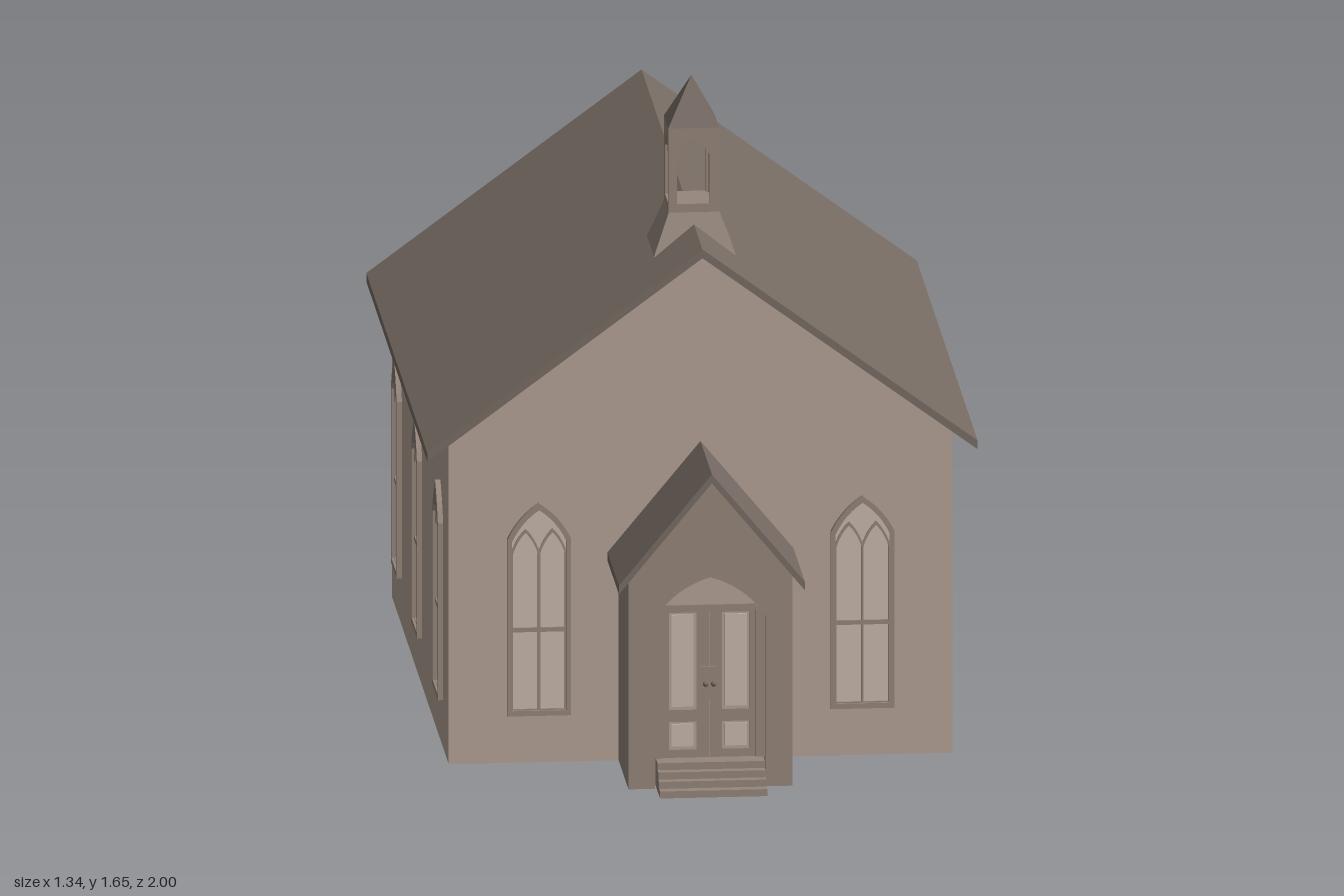
import * as THREE from 'three';

const mat = (color) => new THREE.MeshStandardMaterial({ color, flatShading: true });
const wallMat = mat(0xb4a296);
const porchMat = mat(0x95867b);
const roofMat = mat(0x786c64);
const trimMat = mat(0x95867b);
const glassMat = mat(0xc8b8ac);

const poly = (pts) => new THREE.Shape(pts.map(([x, y]) => new THREE.Vector2(x, y)));

// Extrudes a shape between two z planes
function slab(name, shape, z0, z1, material) {
  const geo = new THREE.ExtrudeGeometry(shape, { depth: z1 - z0, bevelEnabled: false, curveSegments: 6 });
  geo.translate(0, 0, z0);
  const mesh = new THREE.Mesh(geo, material);
  mesh.name = name;
  return mesh;
}

function box(name, x0, x1, y0, y1, z0, z1, material) {
  const mesh = new THREE.Mesh(new THREE.BoxGeometry(x1 - x0, y1 - y0, z1 - z0), material);
  mesh.position.set((x0 + x1) / 2, (y0 + y1) / 2, (z0 + z1) / 2);
  mesh.name = name;
  return mesh;
}

// Pointed-arch outline, bulge 0 gives straight arch sides
function lancet(cx, half, y0, spring, apex, bulge = 0.3) {
  const s = new THREE.Shape();
  const k = half * (1 - bulge / 2);
  const cy = spring + (apex - spring) * (0.5 + bulge / 2);
  s.moveTo(cx - half, y0);
  s.lineTo(cx + half, y0);
  s.lineTo(cx + half, spring);
  s.quadraticCurveTo(cx + k * 0.75, cy, cx, apex);
  s.quadraticCurveTo(cx - k * 0.75, cy, cx - half, spring);
  s.closePath();
  return s;
}

function ring(outer, inner) {
  outer.holes.push(inner);
  return outer;
}

// Gabled wall outline
const gable = (half, eave, apex) => poly([[-half, 0], [half, 0], [half, eave], [0, apex], [-half, eave]]);

// Chevron-shaped roof section
const chevron = (half, eave, apex, t) =>
  poly([[-half, eave - t], [0, apex - t], [half, eave - t], [half, eave], [0, apex], [-half, eave]]);

// Window facing +z, with its back on z = 0
function makeWindow() {
  const g = new THREE.Group();
  g.name = 'window';
  g.add(slab('windowFrame', ring(lancet(0, 0.078, 0.12, 0.565, 0.655), lancet(0, 0.066, 0.133, 0.56, 0.638)), 0, 0.013, trimMat));
  g.add(slab('windowGlass', lancet(0, 0.067, 0.132, 0.56, 0.639), 0, 0.003, glassMat));
  for (const s of [-1, 1]) {
    g.add(slab('tracery', ring(lancet(s * 0.033, 0.035, 0.13, 0.53, 0.59), lancet(s * 0.033, 0.03, 0.136, 0.528, 0.58)), 0.001, 0.007, trimMat));
  }
  g.add(box('crossbar', -0.067, 0.067, 0.33, 0.341, 0.001, 0.007, trimMat));
  return g;
}

function makeDoor(z) {
  const g = new THREE.Group();
  g.name = 'door';
  g.add(slab('archPanel', lancet(0, 0.134, 0.07, 0.43, 0.528, 0.4), z - 0.002, z + 0.003, wallMat));
  // Door surround
  for (const s of [-1, 1]) {
    g.add(box('doorJamb', s * 0.124 - 0.011, s * 0.124 + 0.011, 0.07, 0.45, z, z + 0.018, trimMat));
  }
  g.add(box('doorHead', -0.113, 0.113, 0.44, 0.455, z, z + 0.016, trimMat));
  // Two leaves with framed panels
  for (const s of [-1, 1]) {
    const cx = s * 0.0565;
    const leaf = poly([[cx - 0.056, 0.07], [cx + 0.056, 0.07], [cx + 0.056, 0.44], [cx - 0.056, 0.44]]);
    for (const [y0, y1] of [[0.19, 0.435], [0.09, 0.16]]) {
      const c = s * 0.065, h = 0.034;
      leaf.holes.push(poly([[c - h, y0], [c + h, y0], [c + h, y1], [c - h, y1]]));
      g.add(box('doorPanel', c - 0.027, c + 0.027, y0 + 0.007, y1 - 0.007, z, z + 0.008, glassMat));
    }
    g.add(slab('doorLeaf', leaf, z, z + 0.012, trimMat));
    const knob = new THREE.Mesh(new THREE.SphereGeometry(0.007, 10, 8), roofMat);
    knob.position.set(s * 0.01, 0.257, z + 0.022);
    knob.name = 'doorKnob';
    g.add(knob);
  }
  g.add(box('lockPlate', -0.021, 0.021, 0.217, 0.298, z + 0.01, z + 0.016, trimMat));
  return g;
}

function makePorch() {
  const g = new THREE.Group();
  g.name = 'porch';
  g.add(slab('porchBody', gable(0.2, 0.535, 0.78), 0.6, 0.87, porchMat));
  // Front wall with a pointed doorway cut from the ground up
  const front = new THREE.Shape();
  front.moveTo(-0.2, 0);
  front.lineTo(-0.135, 0);
  front.lineTo(-0.135, 0.43);
  front.quadraticCurveTo(-0.085, 0.505, 0, 0.53);
  front.quadraticCurveTo(0.085, 0.505, 0.135, 0.43);
  front.lineTo(0.135, 0);
  front.lineTo(0.2, 0);
  front.lineTo(0.2, 0.535);
  front.lineTo(0, 0.78);
  front.lineTo(-0.2, 0.535);
  g.add(slab('porchFront', front, 0.87, 0.908, porchMat));
  g.add(slab('porchRoof', chevron(0.227, 0.525, 0.8, 0.022), 0.62, 0.95, roofMat));
  g.add(makeDoor(0.87));
  // Entrance steps
  [1, 0.975, 0.953, 0.93].forEach((z, i) =>
    g.add(box('step', -0.131, 0.131, i * 0.0175, (i + 1) * 0.0175, 0.86, z, trimMat)));
  return g;
}

function makeBelfry() {
  const g = new THREE.Group();
  g.name = 'belfry';
  // Square frustum or pyramid aligned with the axes
  const tapered = (name, top, bottom, y0, y1, material) => {
    const geo = new THREE.CylinderGeometry(top * Math.SQRT2, bottom * Math.SQRT2, y1 - y0, 4, 1);
    geo.rotateY(Math.PI / 4);
    geo.translate(0, (y0 + y1) / 2, 0);
    const mesh = new THREE.Mesh(geo, material);
    mesh.name = name;
    g.add(mesh);
  };
  tapered('belfryBase', 0.061, 0.1, 1.225, 1.325, porchMat);
  g.add(box('belfryFloor', -0.06, 0.06, 1.32, 1.346, -0.06, 0.06, porchMat));
  // Four open arched sides
  for (let i = 0; i < 4; i++) {
    const side = poly([[-0.061, 1.325], [0.061, 1.325], [0.061, 1.537], [-0.061, 1.537]]);
    side.holes.push(poly([[-0.04, 1.346], [0.04, 1.346], [0.04, 1.47], [0.025, 1.493], [0, 1.512], [-0.025, 1.493], [-0.04, 1.47]]));
    const mesh = slab('belfrySide', side, 0.046, 0.061, porchMat);
    mesh.rotation.y = i * Math.PI / 2;
    g.add(mesh);
  }
  tapered('spire', 0, 0.062, 1.537, 1.655, roofMat);
  g.position.z = 0.382;
  return g;
}

export function createModel() {
  const model = new THREE.Group();
  model.name = 'chapel';
  model.add(slab('walls', gable(0.615, 0.82, 1.278), -0.937, 0.635, wallMat));
  model.add(slab('mainRoof', chevron(0.672, 0.8, 1.297, 0.022), -1, 0.69, roofMat));
  model.add(makePorch(), makeBelfry());

  // Windows: three on each long side, two on each gable end
  const place = (x, z, angle) => {
    const w = makeWindow();
    w.position.set(x, 0, z);
    w.rotation.y = angle;
    model.add(w);
  };
  for (const s of [-1, 1]) {
    for (const z of [0.403, -0.178, -0.739]) place(s * 0.615, z, s * Math.PI / 2);
    place(s * 0.395, 0.635, 0);
    place(s * 0.395, -0.937, Math.PI);
  }
  return model;
}
